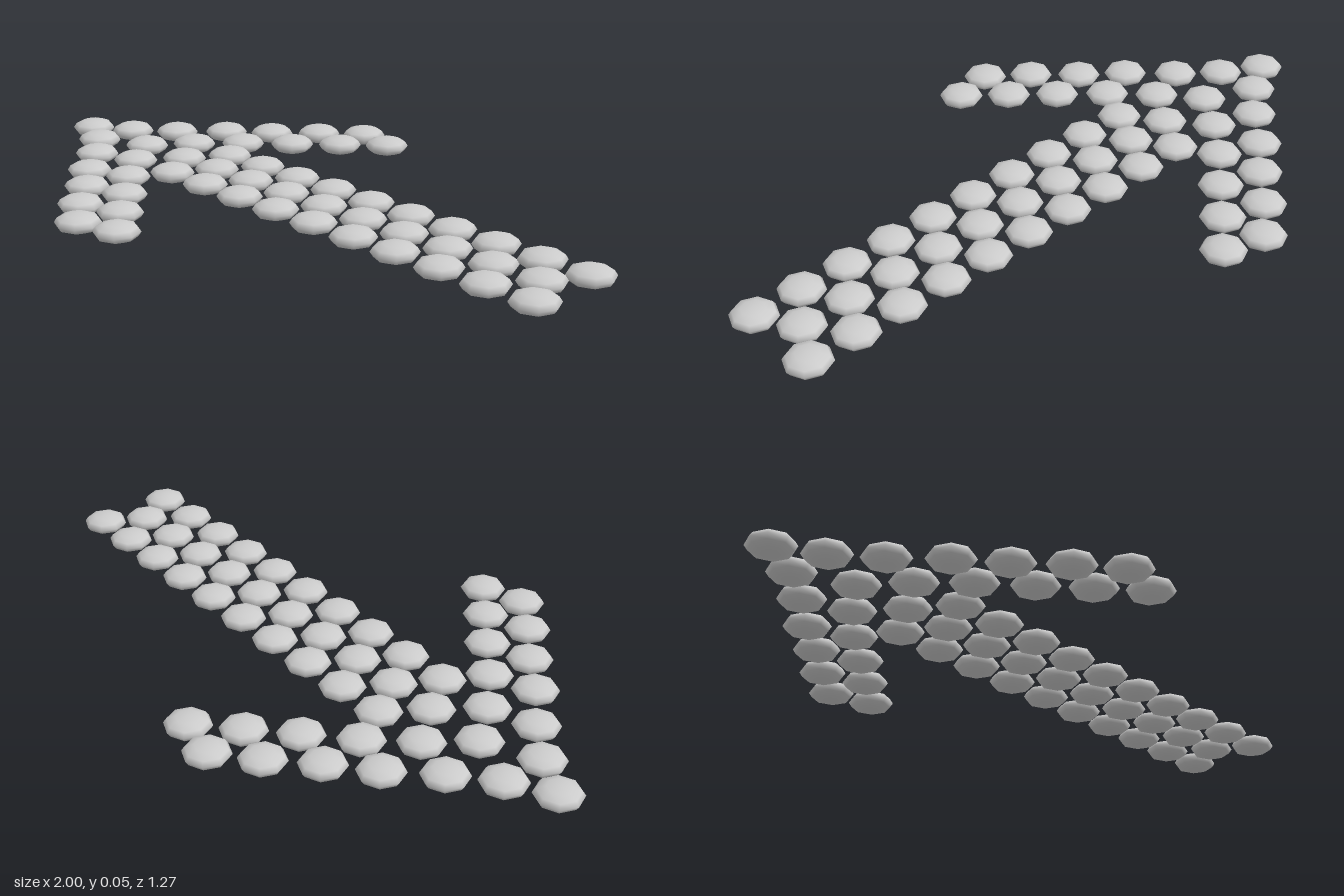
import * as THREE from 'three';

const RADIUS = 0.066;
const HALF_HEIGHT = 0.027;

export function createModel() {
  const model = new THREE.Group();
  model.name = 'pebbleArrow';

  const material = new THREE.MeshStandardMaterial({ color: 0xcccccc });
  // Flattened eight-sided pebble resting on the ground
  const pebble = new THREE.SphereGeometry(RADIUS, 8, 6);
  pebble.scale(1, HALF_HEIGHT / RADIUS, 1);
  pebble.translate(0, HALF_HEIGHT, 0);

  const addGroup = (name, points) => {
    const group = new THREE.Group();
    group.name = name;
    for (const [x, z] of points) {
      const mesh = new THREE.Mesh(pebble, material);
      mesh.name = 'pebble';
      mesh.position.set(x, 0, z);
      group.add(mesh);
    }
    model.add(group);
  };
  const row = (start, end, count, z) =>
    Array.from({ length: count }, (_, i) => [start + (end - start) * i / (count - 1), z]);

  // Shaft: three staggered rows, each with one looser pebble inside the head
  addGroup('shaftCentreRow', [...row(0.865, -0.48, 10, 0), [-0.66, 0]]);
  for (const s of [1, -1]) {
    addGroup(s > 0 ? 'shaftFrontRow' : 'shaftBackRow',
      [...row(0.93, -0.4, 10, s * 0.115), [-0.57, s * 0.118]]);
  }

  // Head: tip and two mirrored barbs of outer and inner pebbles
  addGroup('arrowTip', [[-0.934, 0]]);
  const barb = [
    [-0.815, 0.068], [-0.705, 0.162], [-0.593, 0.275], [-0.48, 0.37],
    [-0.37, 0.475], [-0.258, 0.567], [-0.13, 0.535],
    [-0.24, 0.437], [-0.35, 0.335], [-0.465, 0.23],
  ];
  for (const s of [1, -1]) {
    addGroup(s > 0 ? 'frontBarb' : 'backBarb', barb.map(([x, z]) => [x, s * z]));
  }
  return model;
}
